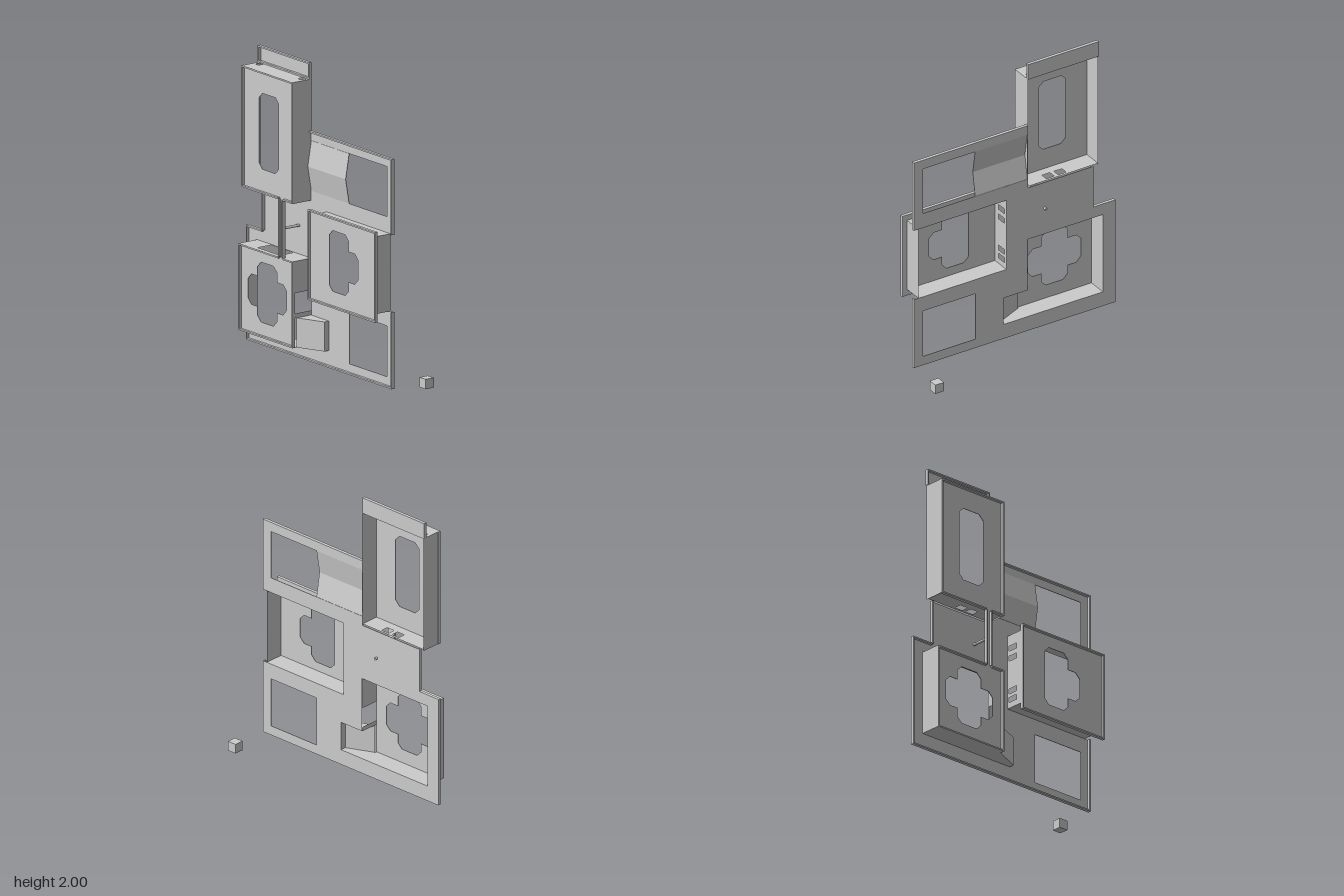
import * as THREE from 'three';

const BACK = 0.072, FRONT = 0.205, LIP = 0.02, LIP_WIDTH = 0.01;

export function createModel() {
  const model = new THREE.Group();
  const material = new THREE.MeshStandardMaterial({ color: 0xcccccc, side: THREE.DoubleSide, flatShading: true });

  const add = (name, geometry, parent = model) => {
    const mesh = new THREE.Mesh(geometry, material);
    mesh.name = name;
    parent.add(mesh);
    return mesh;
  };
  const vectors = (points) => points.map(([x, y]) => new THREE.Vector2(x, y));
  const rect = (x0, y0, x1, y1) => [[x0, y0], [x1, y0], [x1, y1], [x0, y1]];
  const makeShape = (points, holes = []) => {
    const shape = new THREE.Shape(vectors(points));
    shape.holes = holes.map((h) => new THREE.Path(vectors(h)));
    return shape;
  };

  // Cuts the outward corners of a counter-clockwise outline
  const chamfer = (points, c = 0.035) => points.flatMap((p, i) => {
    const n = points.length, a = points[(i + n - 1) % n], b = points[(i + 1) % n];
    const turn = (p[0] - a[0]) * (b[1] - p[1]) - (p[1] - a[1]) * (b[0] - p[0]);
    if (turn < 0) return [p];
    return [a, b].map((q) => {
      const t = c / Math.hypot(q[0] - p[0], q[1] - p[1]);
      return [p[0] + (q[0] - p[0]) * t, p[1] + (q[1] - p[1]) * t];
    });
  });

  // Thin flat sheet facing the front
  const sheet = (name, points, holes, z) => {
    const geometry = new THREE.ExtrudeGeometry(makeShape(points, holes), { depth: 0.004, bevelEnabled: false });
    add(name, geometry.translate(0, 0, z - 0.002));
  };

  // Raised lip on the inner side of a counter-clockwise path
  const lip = (name, points, z, closed = true) => {
    const group = new THREE.Group();
    group.name = name;
    const count = closed ? points.length : points.length - 1;
    for (let i = 0; i < count; i++) {
      const [ax, ay] = points[i], [bx, by] = points[(i + 1) % points.length];
      const length = Math.hypot(bx - ax, by - ay);
      const bar = add('lipBar', new THREE.BoxGeometry(length, LIP_WIDTH, LIP), group);
      const nx = -(by - ay) / length, ny = (bx - ax) / length;
      bar.position.set((ax + bx) / 2 + nx * LIP_WIDTH / 2, (ay + by) / 2 + ny * LIP_WIDTH / 2, z + LIP / 2);
      bar.rotation.z = Math.atan2(by - ay, bx - ax);
    }
    model.add(group);
  };

  // Upright wall from a to b; slots are [start, z0, end, z1] along the wall
  const wall = (name, [ax, ay], [bx, by], slots = []) => {
    const along = new THREE.Vector3(bx - ax, by - ay, 0);
    const length = along.length();
    along.normalize();
    const up = new THREE.Vector3(0, 0, 1);
    const matrix = new THREE.Matrix4().makeBasis(along, up, along.clone().cross(up)).setPosition(ax, ay, 0);
    const shape = makeShape(rect(0, BACK, length, FRONT), slots.map((s) => rect(...s)));
    add(name, new THREE.ShapeGeometry(shape).applyMatrix4(matrix));
  };

  // Back plate with windows and the opening behind the lower box and chute
  const plate = [[-0.61, 0.79], [-0.775, 0.79], [-0.775, 0.035], [0.75, 0.035], [0.75, 0.54], [0.05, 0.54],
    [0.05, 1.05], [0.75, 1.05], [0.75, 1.55], [-0.115, 1.55], [-0.115, 1.09], [-0.61, 1.09]];
  sheet('backPlate', plate, [
    rect(-0.11, 1.155, 0.68, 1.485),
    rect(0.285, 0.1, 0.68, 0.435),
    [[-0.68, 0.14], [0.07, 0.14], [0.07, 0.335], [-0.11, 0.335], [-0.11, 0.71], [-0.68, 0.71]],
  ], BACK);
  lip('lowerPlateLip', [[-0.61, 1.09], ...plate.slice(0, 5)], BACK, false);
  lip('upperPlateLip', plate.slice(7, 10), BACK, false);

  // Top strip above the tall box
  sheet('topStrip', rect(-0.65, 1.89, -0.115, 2), [], BACK);
  lip('topStripLip', rect(-0.65, 1.89, -0.115, 2), BACK);

  // Shallow ridge beside the upper window
  const ridge = new THREE.ExtrudeGeometry(
    makeShape([[-0.072, 1.155], [-0.076, 1.155], [-0.104, 1.32], [-0.076, 1.485], [-0.072, 1.485], [-0.1, 1.32]]),
    { depth: 0.395, bevelEnabled: false });
  add('ridge', ridge.rotateY(Math.PI / 2).translate(-0.11, 0, 0));

  // Front panels of the tall and lower boxes, joined by a narrow bridge
  const joined = [[-0.68, 0.14], [-0.115, 0.14], [-0.115, 0.71], [-0.215, 0.71], [-0.215, 1.09], [-0.115, 1.09],
    [-0.115, 1.89], [-0.65, 1.89], [-0.65, 1.09], [-0.265, 1.09], [-0.265, 0.71], [-0.68, 0.71]];
  const crossHole = chamfer([[-0.5, 0.235], [-0.3, 0.235], [-0.3, 0.33], [-0.2, 0.33], [-0.2, 0.53], [-0.3, 0.53],
    [-0.3, 0.63], [-0.5, 0.63], [-0.5, 0.53], [-0.6, 0.53], [-0.6, 0.33], [-0.5, 0.33]]);
  sheet('joinedFrontPanel', joined, [crossHole, chamfer(rect(-0.485, 1.245, -0.28, 1.745))], FRONT);
  lip('joinedPanelLip', joined, FRONT);

  // Front panel of the right-hand box
  const sidePanel = rect(0.045, 0.495, 0.75, 1.09);
  const sideHole = chamfer([[0.25, 0.6], [0.45, 0.6], [0.45, 0.695], [0.55, 0.695], [0.55, 0.895],
    [0.45, 0.895], [0.45, 1], [0.25, 1]]);
  sheet('sideFrontPanel', sidePanel, [sideHole], FRONT);
  lip('sidePanelLip', sidePanel, FRONT);

  // Tall box walls
  wall('tallBoxLeftWall', [-0.115, 1.09], [-0.115, 1.89]);
  wall('tallBoxRightWall', [-0.645, 1.09], [-0.645, 1.89]);
  wall('tallBoxTop', [-0.645, 1.89], [-0.115, 1.89], [[0.025, 0.085, 0.06, 0.135], [0.47, 0.085, 0.505, 0.135]]);
  wall('tallBoxBottom', [-0.645, 1.1], [-0.115, 1.1], [[0.23, 0.09, 0.29, 0.14], [0.32, 0.09, 0.38, 0.14]]);

  // Lower box walls, leaving the outlet to the chute open
  wall('lowerBoxRightWall', [-0.68, 0.14], [-0.68, 0.71]);
  wall('lowerBoxLeftWall', [-0.115, 0.5], [-0.115, 0.71]);
  wall('lowerBoxLeftPost', [-0.115, 0.335], [-0.115, 0.365]);
  wall('lowerBoxBottom', [-0.68, 0.14], [-0.115, 0.14]);
  wall('lowerBoxTop', [-0.68, 0.71], [-0.115, 0.71], [[0.16, 0.085, 0.39, 0.19]]);

  // Right-hand box walls
  wall('sideBoxInnerWall', [0.05, 0.54], [0.05, 1.05],
    [0.04, 0.1, 0.33, 0.4].map((s) => [s, 0.09, s + 0.035, 0.16]));
  wall('sideBoxOuterWall', [0.715, 0.54], [0.715, 1.05]);
  wall('sideBoxBottom', [0.05, 0.54], [0.715, 0.54]);
  wall('sideBoxTop', [0.05, 1.05], [0.715, 1.05]);

  // Sloping chute: two side walls and a slanted cover
  const chuteSide = makeShape([[-0.115, BACK], [0.07, BACK], [0.07, 0.11], [-0.115, 0.19]]);
  for (const y of [0.14, 0.335]) add('chuteSide', new THREE.ShapeGeometry(chuteSide).rotateX(Math.PI / 2).translate(0, y, 0));
  const cover = add('chuteCover', new THREE.PlaneGeometry(Math.hypot(0.185, 0.08), 0.195));
  cover.position.set(-0.0225, 0.2375, 0.15);
  cover.rotation.y = Math.atan2(0.08, 0.185);
  const end = add('chuteEnd', new THREE.PlaneGeometry(0.11 - BACK, 0.195));
  end.position.set(0.07, 0.2375, (0.11 + BACK) / 2);
  end.rotation.y = Math.PI / 2;

  // Peg through the plate behind the bridge
  add('peg', new THREE.CylinderGeometry(0.009, 0.009, 0.14, 12).rotateX(Math.PI / 2).translate(-0.24, 0.9, 0.122));

  // Separate small cube
  add('smallCube', new THREE.BoxGeometry(0.065, 0.065, 0.065).translate(0.745, 0.0325, -0.1925));

  return model;
}
